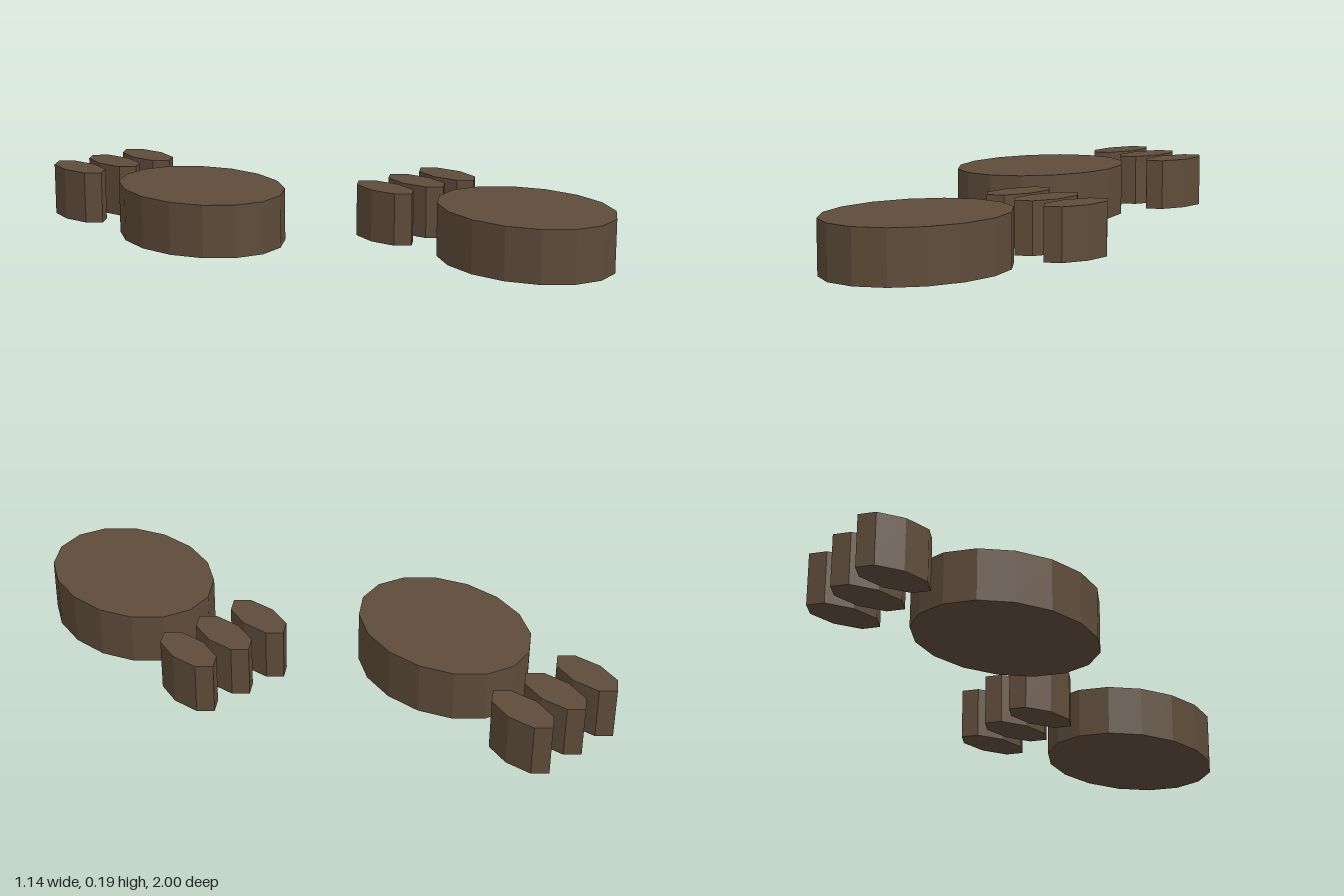
import * as THREE from 'three';

const HEIGHT = 0.187;

export function createModel() {
  const model = new THREE.Group();
  model.name = 'pawPrints';
  const brown = new THREE.MeshStandardMaterial({ color: 0x5e4b3a, flatShading: true });

  // Upright elliptical prism standing on the ground
  const prism = (name, sides, halfX, halfZ, x, z) => {
    const geometry = new THREE.CylinderGeometry(1, 1, HEIGHT, sides);
    geometry.scale(halfX, 1, halfZ);
    const mesh = new THREE.Mesh(geometry, brown);
    mesh.name = name;
    mesh.position.set(x, HEIGHT / 2, z);
    return mesh;
  };

  // One paw: a large pad with three toes behind it
  const paw = (name, x, z) => {
    const group = new THREE.Group();
    group.name = name;
    group.position.set(x, 0, z);
    group.add(prism('pad', 16, 0.263, 0.34, 0, 0));
    ['rightToe', 'middleToe', 'leftToe'].forEach((toe, i) => {
      group.add(prism(toe, 8, 0.066, 0.137, (i - 1) * 0.156, -0.53));
    });
    return group;
  };

  model.add(paw('rightPaw', -0.309, -0.333), paw('leftPaw', 0.309, 0.66));
  return model;
}
